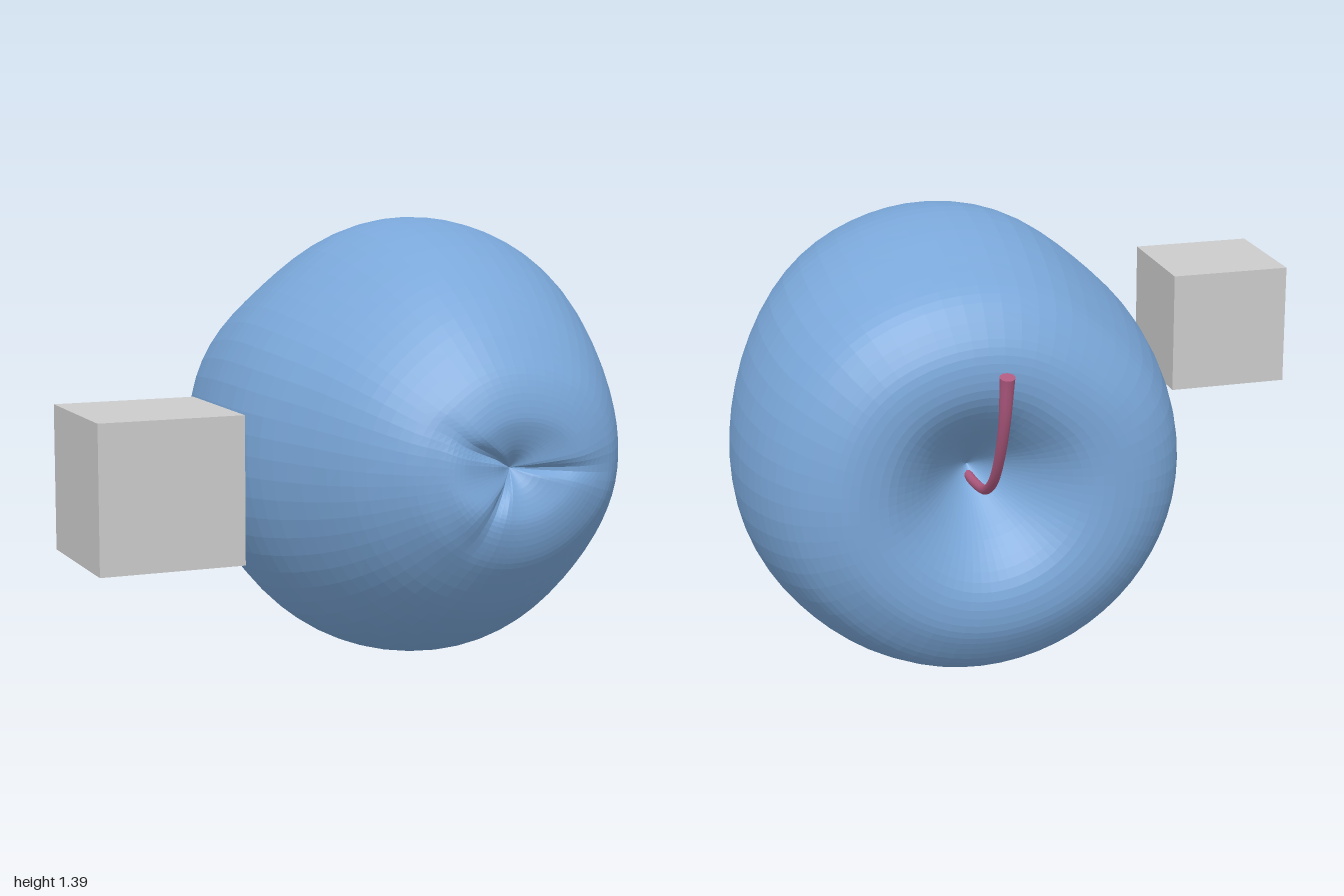
import * as THREE from 'three';

const CENTRE = [0.34, 0.7];
const SEGMENTS = 64, STEPS = 4;

// Fruit profile from blossom end to stem pit: z, reach to -x, reach to +x, reach in y
const PROFILE = [
  [0.58, 0, 0, 0], [0.625, 0.06, 0.06, 0.06], [0.65, 0.14, 0.15, 0.12], [0.655, 0.2, 0.21, 0.17],
  [0.635, 0.26, 0.28, 0.245], [0.59, 0.34, 0.35, 0.32], [0.47, 0.45, 0.43, 0.455],
  [0.3, 0.545, 0.505, 0.575], [0.09, 0.63, 0.585, 0.66], [-0.12, 0.66, 0.645, 0.695],
  [-0.3, 0.65, 0.655, 0.67], [-0.46, 0.62, 0.625, 0.615], [-0.58, 0.575, 0.565, 0.56],
  [-0.65, 0.51, 0.485, 0.475], [-0.685, 0.42, 0.4, 0.39], [-0.677, 0.3, 0.29, 0.29],
  [-0.61, 0.2, 0.19, 0.19], [-0.51, 0.1, 0.1, 0.1], [-0.44, 0.04, 0.04, 0.04], [-0.4, 0, 0, 0],
];

// Bell curve around an angle in degrees
function bump(angle, degrees, width) {
  const d = angle - THREE.MathUtils.degToRad(degrees);
  const wrapped = Math.atan2(Math.sin(d), Math.cos(d));
  return Math.exp(-((wrapped / width) ** 2));
}

function fruitGeometry() {
  const curve = (pick) => new THREE.CatmullRomCurve3(PROFILE.map(pick), false, 'catmullrom', 0.5);
  const reach = curve((p) => new THREE.Vector3(p[1], p[2], p[3]));
  const depth = curve((p) => new THREE.Vector3(p[0], 0, 0));
  const rows = (PROFILE.length - 1) * STEPS;
  const positions = [], indices = [];

  for (let i = 0; i <= rows; i++) {
    const t = i / rows;
    const { x: left, y: right, z: tall } = reach.getPoint(t);
    const z0 = depth.getPoint(t).x;
    for (let j = 0; j < SEGMENTS; j++) {
      const a = (j / SEGMENTS) * Math.PI * 2;
      const c = Math.cos(a), s = Math.sin(a);
      // Slight flat on one shoulder and fullness on the other
      const swell = 1 - 0.04 * bump(a, 130, 0.35) + 0.025 * bump(a, 45, 0.4) - 0.02 * bump(a, 315, 0.4);
      let z = z0;
      if (z0 > 0.4) {
        // Puckered creases and one raised lobe around the blossom end
        const near = (tall / 0.07) * Math.exp(1 - tall / 0.07);
        const creases = bump(a, 150, 0.16) + bump(a, 240, 0.16) + bump(a, 357, 0.16);
        const lobe = Math.exp(-(((tall - 0.17) / 0.09) ** 2));
        z += -0.025 * near * creases + 0.02 * lobe * bump(a, 222, 0.5);
      }
      positions.push(CENTRE[0] + (c > 0 ? right : left) * c * swell, CENTRE[1] + tall * s * swell, z);
      if (i < rows) {
        const k = (j + 1) % SEGMENTS, p = i * SEGMENTS, q = p + SEGMENTS;
        if (i < rows - 1) indices.push(p + j, q + j, q + k);
        else indices.push(p + j, q + j, p + k);
        if (i > 0 && i < rows - 1) indices.push(p + j, q + k, p + k);
      }
    }
  }
  const geometry = new THREE.BufferGeometry();
  geometry.setAttribute('position', new THREE.Float32BufferAttribute(positions, 3));
  geometry.setIndex(indices);
  geometry.computeVertexNormals();
  return geometry;
}

function stemGroup() {
  const group = new THREE.Group();
  const material = new THREE.MeshStandardMaterial({ color: 0xb05a80 });
  const path = new THREE.CatmullRomCurve3([
    [0.67, -0.4], [0.675, -0.5], [0.7, -0.62], [0.76, -0.71], [0.857, -0.78], [0.976, -0.833], [1.11, -0.865],
  ].map(([y, z]) => new THREE.Vector3(CENTRE[0], y, z)));
  // Bent stalk, widening towards its cut end
  const tubular = 32, radial = 10;
  const geometry = new THREE.TubeGeometry(path, tubular, 1, radial, false);
  const pos = geometry.attributes.position, v = new THREE.Vector3();
  for (let i = 0; i < pos.count; i++) {
    const t = Math.floor(i / (radial + 1)) / tubular;
    const centre = path.getPointAt(t);
    v.fromBufferAttribute(pos, i).sub(centre).multiplyScalar(0.014 + 0.008 * t ** 4).add(centre);
    pos.setXYZ(i, v.x, v.y, v.z);
  }
  const stalk = new THREE.Mesh(geometry, material);
  stalk.name = 'stalk';
  // Cap closing the cut end
  const cap = new THREE.Mesh(new THREE.CircleGeometry(0.022, radial), material);
  cap.name = 'stalkEnd';
  const end = path.getPointAt(1);
  cap.position.copy(end);
  cap.lookAt(end.clone().add(path.getTangentAt(1)));
  group.add(stalk, cap);
  group.name = 'stem';
  return group;
}

export function createModel() {
  const model = new THREE.Group();
  model.name = 'appleAndCube';

  const fruit = new THREE.Mesh(
    fruitGeometry(),
    new THREE.MeshStandardMaterial({ color: 0x7aa7d9, flatShading: true }),
  );
  fruit.name = 'apple';

  // Plain cube floating beside the fruit
  const cube = new THREE.Mesh(
    new THREE.BoxGeometry(0.4, 0.4, 0.4),
    new THREE.MeshStandardMaterial({ color: 0xcccccc }),
  );
  cube.name = 'cube';
  cube.position.set(-0.8, 0.745, 0.685);

  model.add(fruit, stemGroup(), cube);
  return model;
}
